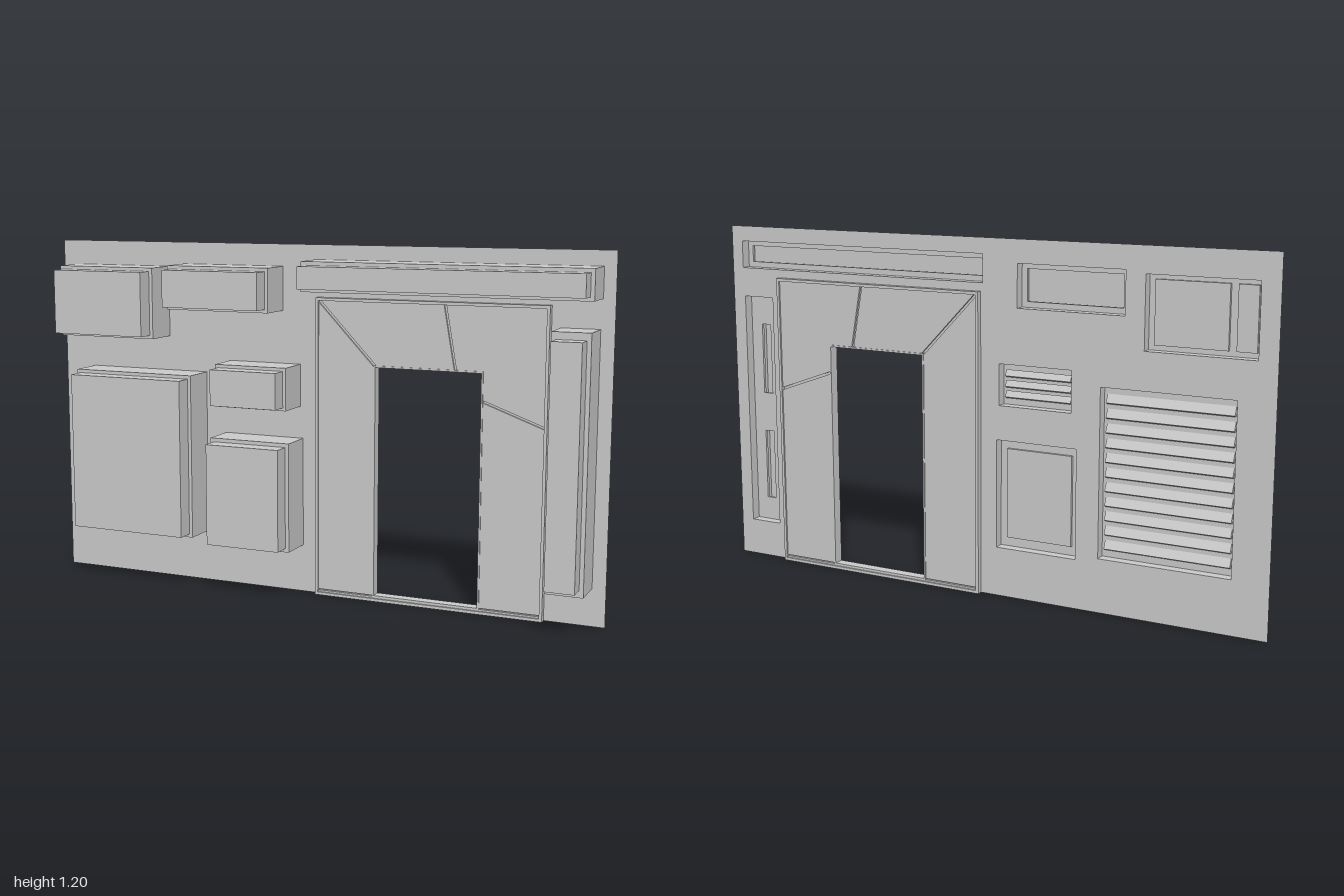
import * as THREE from 'three';

const mat = new THREE.MeshStandardMaterial({ color: 0xcccccc, flatShading: true, side: THREE.DoubleSide });
const WALL_Z = -0.08, FLOOR_Z = -0.045;

function addMesh(parent, geometry, name) {
  const mesh = new THREE.Mesh(geometry, mat);
  mesh.name = name;
  parent.add(mesh);
  return mesh;
}

// Axis-aligned box given by its limits
function addBox(parent, name, x0, x1, y0, y1, z0, z1) {
  const mesh = addMesh(parent, new THREE.BoxGeometry(x1 - x0, y1 - y0, z1 - z0), name);
  mesh.position.set((x0 + x1) / 2, (y0 + y1) / 2, (z0 + z1) / 2);
  return mesh;
}

const polygon = (pts) => new THREE.Shape(pts.map(([x, y]) => new THREE.Vector2(x, y)));
const rect = ([x0, x1, y0, y1], inset = 0) => polygon([
  [x0 + inset, y0 + inset], [x1 - inset, y0 + inset],
  [x1 - inset, y1 - inset], [x0 + inset, y1 - inset]]);

// Outline with holes, extruded between two depths
function addSlab(parent, name, shape, holes, z0, z1) {
  shape.holes.push(...holes);
  const geometry = new THREE.ExtrudeGeometry(shape, { depth: z1 - z0, bevelEnabled: false });
  geometry.translate(0, 0, z0);
  return addMesh(parent, geometry, name);
}

// Row of tilted slats across a recess
function addLouvres(parent, [x0, x1, y0, y1], count) {
  const step = (y1 - y0) / count;
  for (let i = 0; i < count; i++) {
    const y = y0 + step * (i + 0.5);
    const slat = addBox(parent, 'louvre', x0, x1, y - step * 0.32, y + step * 0.32, -0.056, -0.044);
    slat.rotation.x = 0.45;
  }
}

// Limits [x0, x1, y0, y1] of each recessed housing and its kind of insert
const housings = [
  { name: 'screenHousing', r: [-0.94, -0.57, 0.87, 1.115], step: 0.012, kind: 'screens' },
  { name: 'trayHousing', r: [-0.51, -0.13, 0.975, 1.125], step: 0.012, kind: 'tray' },
  { name: 'headerHousing', r: [-0.01, 0.96, 1.05, 1.15], step: 0.013, kind: 'tray' },
  { name: 'largeVentHousing', r: [-0.88, -0.425, 0.18, 0.75], step: 0.012, kind: 'louvres', count: 11 },
  { name: 'smallVentHousing', r: [-0.33, -0.065, 0.65, 0.795], step: 0.011, kind: 'louvres', count: 3 },
  { name: 'accessHousing', r: [-0.35, -0.055, 0.165, 0.54], step: 0.013, kind: 'plate' },
  { name: 'columnHousing', r: [0.83, 0.955, 0.125, 0.955], step: 0.014, kind: 'slots' },
];

function createHousing({ name, r, step, kind, count }) {
  const group = new THREE.Group();
  group.name = name;
  const [x0, x1, y0, y1] = r;
  // Outer shell, stepped front
  addSlab(group, 'shellWalls', rect(r), [rect(r, 0.003)], WALL_Z, 0.035);
  addBox(group, 'shellFront', x0, x1, y0, y1, 0.035, 0.04);
  const dy = kind === 'slots' ? 0.024 : step;
  addBox(group, 'frontStep', x0 + step, x1 - step, y0 + dy, y1 - dy, 0.04, 0.1);

  // Recess floor with its insert
  const holes = [];
  if (kind === 'slots') {
    holes.push(rect([0.872, 0.908, 0.21, 0.46]), rect([0.872, 0.908, 0.60, 0.85]));
  } else if (kind === 'tray') {
    holes.push(rect(r, 0.022));
    addBox(group, 'trayFloor', x0 + 0.01, x1 - 0.01, y0 + 0.01, y1 - 0.01, -0.02, -0.015);
  } else if (kind === 'plate') {
    addBox(group, 'accessPlate', x0 + 0.03, x1 - 0.03, y0 + 0.035, y1 - 0.035, -0.055, FLOOR_Z);
  } else if (kind === 'screens') {
    addBox(group, 'wideScreen', -0.835, -0.595, y0 + 0.02, y1 - 0.02, -0.055, FLOOR_Z);
    addBox(group, 'narrowScreen', -0.925, -0.86, y0 + 0.02, y1 - 0.02, -0.055, FLOOR_Z);
  } else {
    addLouvres(group, [x0 + 0.015, x1 - 0.015, y0 + 0.02, y1 - 0.02], count);
  }
  addSlab(group, 'recessFloor', rect(r, 0.002), holes, FLOOR_Z, FLOOR_Z + 0.01);
  return group;
}

function createDoorFrame() {
  const group = new THREE.Group();
  group.name = 'doorFrame';
  const outer = [0, 0.8, 0, 1.025], opening = [0.215, 0.58, 0.02, 0.8];
  addSlab(group, 'outerRim', rect(outer), [rect(outer, 0.01)], -0.1, -0.057);
  addSlab(group, 'openingRim', rect(opening, -0.006), [rect(opening)], -0.097, -0.06);
  addSlab(group, 'core', rect(outer, 0.005), [rect(opening)], -0.086, -0.07);
  // Cladding panels on both sides, parted by narrow seams
  const panels = {
    rightJamb: [[0.01, 0.02], [0.215, 0.02], [0.215, 0.795], [0.01, 1.01]],
    headerPanel: [[0.018, 1.015], [0.22, 0.803], [0.488, 0.803], [0.45, 1.015]],
    cornerPanel: [[0.458, 1.015], [0.496, 0.803], [0.58, 0.803], [0.58, 0.714], [0.79, 0.638], [0.79, 1.015]],
    leftJamb: [[0.58, 0.02], [0.79, 0.02], [0.79, 0.63], [0.58, 0.706]],
    sill: [[0.01, 0.008], [0.79, 0.008], [0.79, 0.016], [0.01, 0.016]],
  };
  for (const [name, pts] of Object.entries(panels)) addSlab(group, name, polygon(pts), [], -0.094, -0.063);
  return group;
}

export function createModel() {
  const model = new THREE.Group();
  model.name = 'wallModule';
  // Thin wall, notched for the door and pierced at every housing
  const wall = polygon([[-1, 0], [0, 0], [0, 1.025], [0.8, 1.025], [0.8, 0], [1, 0], [1, 1.2], [-1, 1.2]]);
  wall.holes.push(...housings.map(({ r }) => rect(r)));
  addMesh(model, new THREE.ShapeGeometry(wall), 'wall').position.z = WALL_Z;
  for (const h of housings) model.add(createHousing(h));
  model.add(createDoorFrame());
  return model;
}
